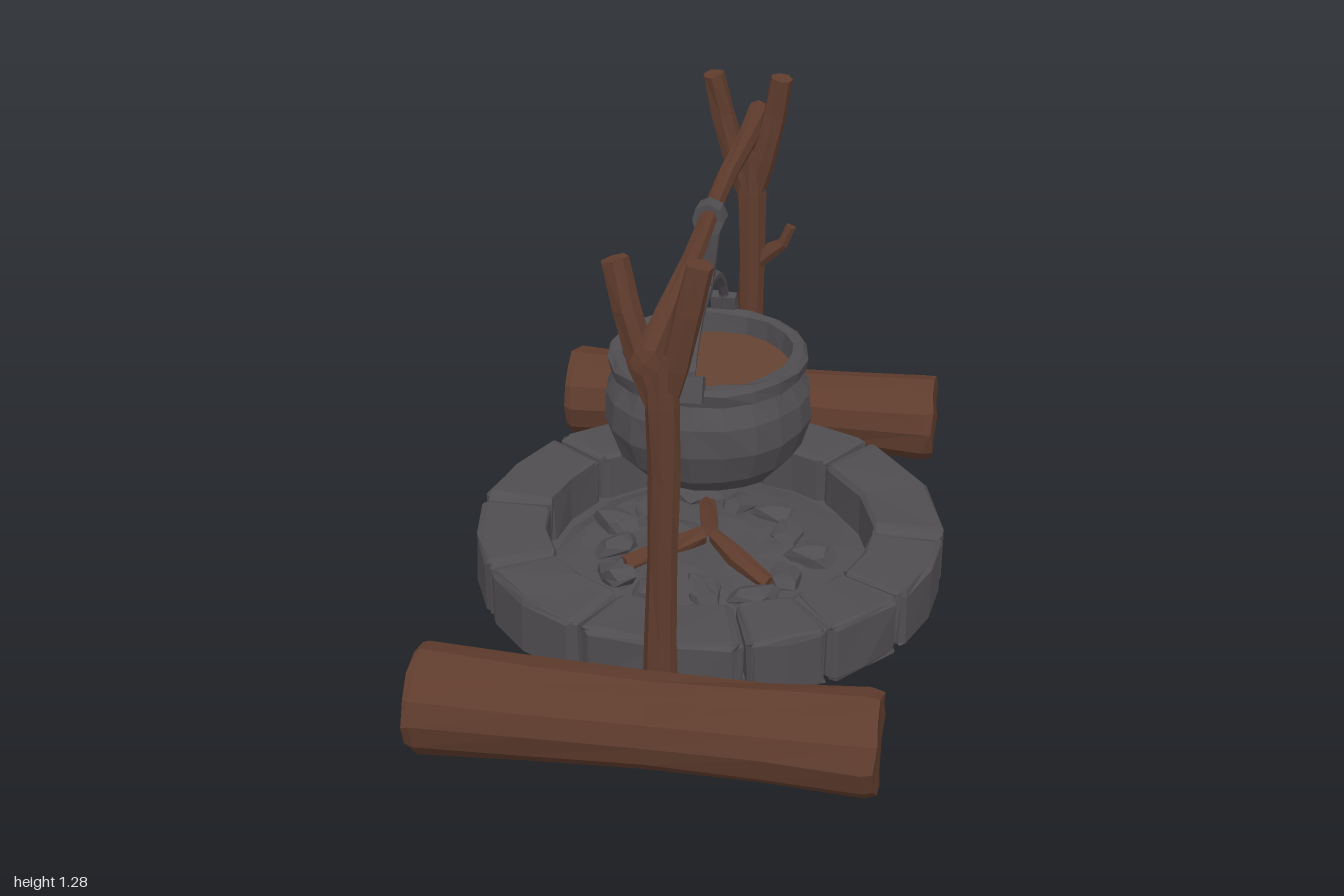
import * as THREE from 'three';

const stone = new THREE.MeshStandardMaterial({ color: 0x504d51 });
const wood = new THREE.MeshStandardMaterial({ color: 0x5f3c2d });
const soup = new THREE.MeshStandardMaterial({ color: 0x634232 });
stone.name = 'stoneAndIron';
wood.name = 'wood';
soup.name = 'soup';

// Repeatable noise in -1..1, so corners that share a position move together
const noise = (x, y, z, k) => {
  const s = Math.sin(Math.round(x * 500) * 12.99 + Math.round(y * 500) * 78.23 + Math.round(z * 500) * 37.72 + k * 4.1) * 43758.5;
  return 2 * (s - Math.floor(s)) - 1;
};

// Faceted mesh with slightly uneven vertices
function facet(name, geometry, material, rough = 0) {
  const g = geometry.index ? geometry.toNonIndexed() : geometry;
  const p = g.attributes.position;
  for (let i = 0; i < p.count; i++) {
    const [x, y, z] = [p.getX(i), p.getY(i), p.getZ(i)];
    p.setXYZ(i, x + rough * noise(x, y, z, 1), y + rough * noise(x, y, z, 2), z + rough * noise(x, y, z, 3));
  }
  g.computeVertexNormals();
  const mesh = new THREE.Mesh(g, material);
  mesh.name = name;
  return mesh;
}

// Capped limb through points, each given as [x, y, z, radius]
function limb(points, sides) {
  const at = points.map((p) => new THREE.Vector3(p[0], p[1], p[2]));
  const n = at.length;
  const whole = at[n - 1].clone().sub(at[0]).normalize();
  const ref = Math.abs(whole.x) > 0.8 ? new THREE.Vector3(0, 1, 0) : new THREE.Vector3(1, 0, 0);
  const pos = [], idx = [];
  at.forEach((c, i) => {
    const d = at[Math.min(i + 1, n - 1)].clone().sub(at[Math.max(i - 1, 0)]).normalize();
    const u = ref.clone().cross(d).normalize();
    const v = d.clone().cross(u);
    for (let j = 0; j < sides; j++) {
      const a = (j / sides) * Math.PI * 2;
      const q = c.clone().addScaledVector(u, Math.cos(a) * points[i][3]).addScaledVector(v, Math.sin(a) * points[i][3]);
      pos.push(q.x, q.y, q.z);
    }
  });
  pos.push(...at[0].toArray(), ...at[n - 1].toArray());
  for (let j = 0; j < sides; j++) {
    const k = (j + 1) % sides, top = (n - 1) * sides;
    for (let i = 0; i < n - 1; i++) {
      const a = i * sides + j, b = i * sides + k;
      idx.push(a, b, a + sides, b, b + sides, a + sides);
    }
    idx.push(n * sides, k, j, n * sides + 1, top + j, top + k);
  }
  const g = new THREE.BufferGeometry();
  g.setAttribute('position', new THREE.Float32BufferAttribute(pos, 3));
  g.setIndex(idx);
  return g;
}

// Curved block with worn edges, between two angles of the ring
function ringStone(a0, a1) {
  const g = new THREE.BoxGeometry(2, 2, 2, 4, 3, 3);
  const p = g.attributes.position;
  const spread = (t) => (Math.abs(t) > 0.9 || Math.abs(t) < 0.1 ? t : Math.sign(t) * 0.84);
  for (let i = 0; i < p.count; i++) {
    let t = [p.getX(i), p.getY(i), p.getZ(i)].map(spread);
    if (t.filter((c) => Math.abs(c) > 0.95).length > 1) t = t.map((c) => (Math.abs(c) > 0.95 ? c * 0.94 : c));
    const a = (a0 + a1) / 2 + (t[0] * (a1 - a0 - 0.012)) / 2;
    const r = 0.547 - t[2] * 0.098;
    p.setXYZ(i, Math.cos(a) * r, 0.139 + t[1] * 0.084, Math.sin(a) * r);
  }
  return g;
}

export function createModel() {
  const model = new THREE.Group();
  model.name = 'campfire';

  // Two seat logs, slightly waisted
  for (const s of [1, -1]) {
    const log = [[-0.59, 0.13], [-0.57, 0.136], [-0.3, 0.127], [0, 0.116], [0.28, 0.122], [0.53, 0.132], [0.56, 0.126]];
    model.add(facet('seatLog', limb(log.map(([x, r]) => [x, 0.141, s * 0.855, r]), 12), wood, 0.005));
  }

  // Forked posts
  for (const s of [1, -1]) {
    const post = new THREE.Group();
    post.name = s > 0 ? 'frontPost' : 'backPost';
    const z = 0.68 * s;
    post.add(facet('trunk', limb([
      [-0.006, 0.04, 0.695 * s, 0.046], [-0.004, 0.27, 0.69 * s, 0.042], [0.003, 0.5, 0.685 * s, 0.037],
      [0.008, 0.72, z, 0.038], [0.004, 0.92, z, 0.042], [0, 1.05, z, 0.04],
    ], 8), wood, 0.004));
    for (const [end, name] of [[-0.105, 'leftProng'], [0.093, 'rightProng']]) {
      post.add(facet(name, limb([
        [0.005, 0.88, z, 0.026], [end * 0.4, 1.02, z, 0.036], [end * 0.75, 1.16, z, 0.034], [end, 1.275, z - 0.01 * s, 0.032],
      ], 7), wood, 0.003));
    }
    model.add(post);
  }
  model.add(facet('twig', limb([
    [0.01, 0.69, -0.68, 0.022], [0.07, 0.745, -0.675, 0.024], [0.102, 0.77, -0.67, 0.018], [0.125, 0.825, -0.67, 0.015],
  ], 6), wood, 0.002));

  // Crossbar resting in the forks
  model.add(facet('crossbar', limb([
    [0, 1.11, -0.845, 0.031], [0.003, 1.112, -0.6, 0.031], [-0.004, 1.115, -0.3, 0.026], [0, 1.118, 0, 0.025],
    [0.004, 1.118, 0.3, 0.026], [0, 1.112, 0.6, 0.031], [0, 1.11, 0.855, 0.034],
  ], 8), wood, 0.003));

  // Iron hanger: collar on the bar, strap and hook
  const hanger = new THREE.Group();
  hanger.name = 'hanger';
  const collar = facet('collar', new THREE.CylinderGeometry(0.044, 0.044, 0.055, 8), stone, 0.003);
  collar.rotation.x = Math.PI / 2;
  collar.position.y = 1.115;
  hanger.add(collar);
  hanger.add(facet('strap', limb([
    [0, 1.1, 0, 0.034], [0, 1.03, 0, 0.026], [-0.005, 0.97, 0, 0.022], [-0.015, 0.935, 0, 0.03], [-0.005, 0.89, 0, 0.014],
  ], 6), stone, 0.002));
  hanger.add(facet('hookTip', limb([[-0.005, 0.9, 0, 0.013], [-0.038, 0.905, 0, 0.013], [-0.042, 0.945, 0, 0.01]], 5), stone));
  model.add(hanger);

  // Round-bellied pot with a turned-out lip
  const pot = new THREE.Group();
  pot.name = 'pot';
  const profile = [
    [0, 0.387], [0.12, 0.387], [0.2, 0.415], [0.252, 0.47], [0.28, 0.555], [0.274, 0.63], [0.243, 0.688],
    [0.266, 0.696], [0.27, 0.73], [0.258, 0.743], [0.228, 0.738], [0.22, 0.68], [0.215, 0.64],
  ].map(([r, y]) => new THREE.Vector2(r, y));
  pot.add(facet('kettle', new THREE.LatheGeometry(profile, 20), stone, 0.004));
  const broth = facet('broth', new THREE.CircleGeometry(0.225, 20), soup);
  broth.rotation.x = -Math.PI / 2;
  broth.position.y = 0.685;
  pot.add(broth);

  // Bail handle with an ear at each end
  const arc = [];
  for (let i = 0; i <= 12; i++) {
    const a = (i / 12) * Math.PI;
    arc.push([0, 0.745 + 0.175 * Math.sin(a), 0.257 * Math.cos(a), 0.014]);
  }
  pot.add(facet('handle', limb(arc, 6), stone, 0.002));
  for (const s of [1, -1]) {
    const ear = facet('handleEar', new THREE.BoxGeometry(0.07, 0.07, 0.035), stone, 0.004);
    ear.position.set(0, 0.747, s * 0.264);
    ear.rotation.x = s * -0.25;
    pot.add(ear);
  }
  pot.position.x = -0.005;
  model.add(pot);

  // Ring of fire-pit stones
  const cuts = [0, 30, 52, 72, 112, 146, 180, 216, 249, 279, 307, 360];
  for (let i = 0; i < cuts.length - 1; i++) {
    const [a, b] = [cuts[i], cuts[i + 1]].map(THREE.MathUtils.degToRad);
    model.add(facet('ringStone', ringStone(a, b), stone, 0.005));
  }

  // Pit floor and ash mound
  const floor = facet('pitFloor', new THREE.CylinderGeometry(0.6, 0.6, 0.03, 24), stone);
  floor.position.y = 0.072;
  model.add(floor);
  model.add(facet('ashMound', limb([
    [0, 0.08, 0, 0.47], [0, 0.1, 0, 0.37], [0, 0.12, 0, 0.27], [0, 0.135, 0, 0.14],
  ], 14), stone, 0.012));

  // Broken rocks scattered over the mound
  for (let i = 0; i < 13; i++) {
    const a = i * 0.49, r = 0.26 + 0.045 * noise(i, 2, 5, 1);
    const rock = facet('rock', new THREE.DodecahedronGeometry(0.06), stone, 0.012);
    rock.scale.set(1.25, 0.5 + 0.12 * noise(i, 1, 1, 2), 0.85);
    rock.position.set(Math.cos(a) * r, 0.125, Math.sin(a) * r);
    rock.rotation.set(0.2 * noise(i, 3, 1, 1), i * 1.7, 0.2 * noise(i, 4, 1, 1));
    model.add(rock);
  }

  // Charred sticks among the rocks
  for (const a of [0.7, 2.6, 4.5]) {
    const [c, s] = [Math.cos(a), Math.sin(a)];
    model.add(facet('charredStick', limb([
      [c * 0.25, 0.12, s * 0.25, 0.026], [c * 0.12, 0.145, s * 0.13, 0.03], [c * 0.02, 0.17, s * 0.02, 0.024],
    ], 6), wood, 0.004));
  }
  return model;
}
